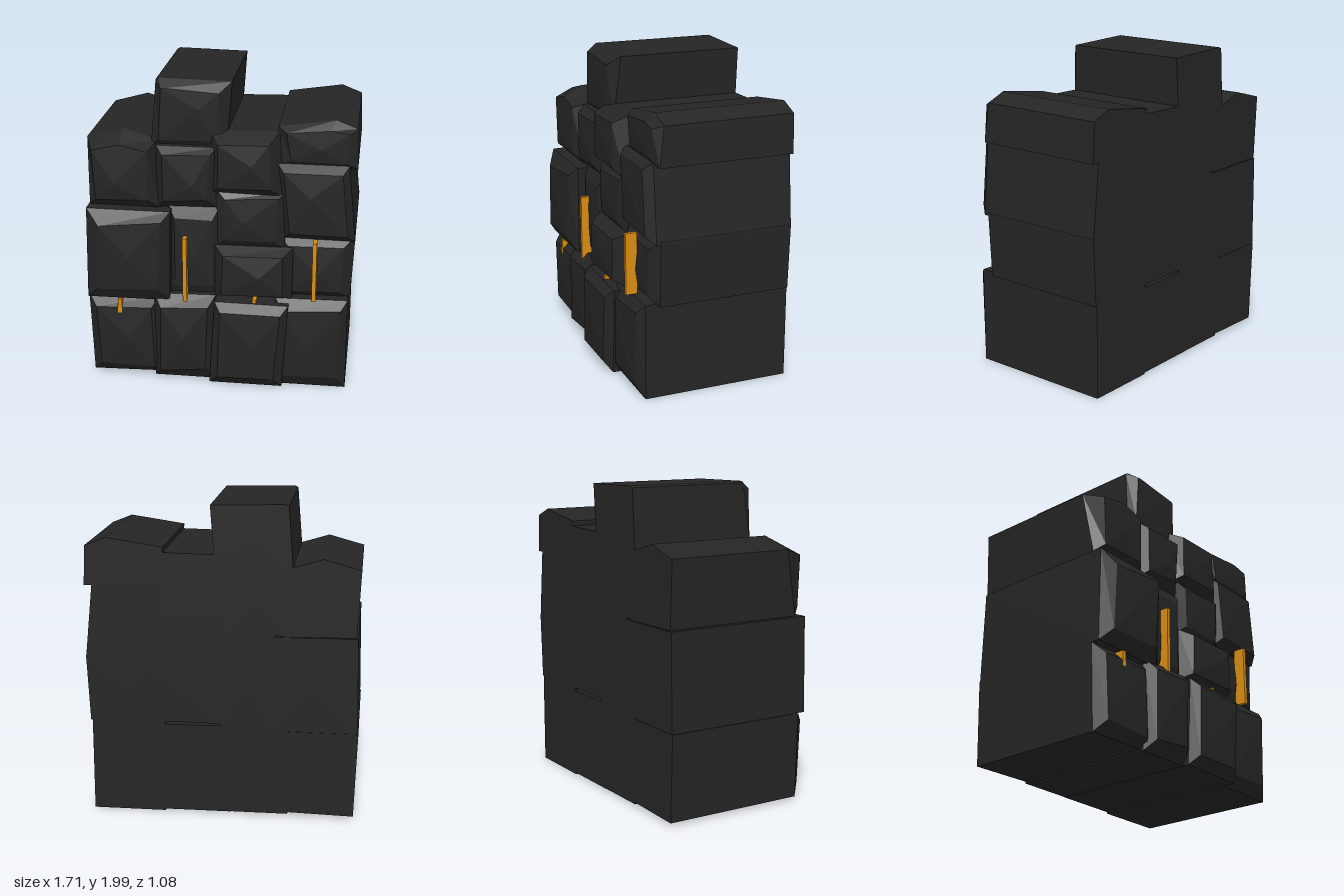
import * as THREE from 'three';

const BACK = -0.54;
const stone = new THREE.MeshStandardMaterial({ color: 0x252525 });
stone.name = 'dark stone';
const amber = new THREE.MeshStandardMaterial({ color: 0xd98c12 });
amber.name = 'amber';

// Seeded wobble in -1..1 for hand-cut irregularity
let seed = 7;
const wobble = () => {
  seed = (seed * 16807) % 2147483647;
  return (seed / 2147483647) * 2 - 1;
};

// Rough stone: a leaning rectangle run back to the flat rear, whose faceted front
// rises from the rim through a ring to an off-centre peak.
// lean shifts the top edge sideways, setback pushes it rearwards, ridge adds a point to it.
function stoneBlock(name, x0, x1, y0, y1, rim, bulge, { lean = 0, setback = 0, ridge } = {}) {
  const h = lean / 2;
  const corner = (x, y, z) => new THREE.Vector3(x, y + wobble() * 0.006, z);
  const rimPts = [corner(x0 - h, y0, rim), corner(x1 - h, y0, rim), corner(x1 + h, y1, rim - setback)];
  if (ridge) rimPts.push(new THREE.Vector3(...ridge, rim - setback));
  rimPts.push(corner(x0 + h, y1, rim - setback));

  const cx = (x0 + x1) / 2, cy = (y0 + y1) / 2;
  const peak = new THREE.Vector3(cx + wobble() * 0.05, cy + wobble() * 0.05, bulge);
  const mid = new THREE.Vector3(cx, cy, BACK);
  const rear = rimPts.map((p) => p.clone().setZ(BACK));
  const ring = rimPts.map((p) => {
    const s = 0.75 + wobble() * 0.08;
    return new THREE.Vector3(cx + (p.x - cx) * s, cy + (p.y - cy) * s, rim + (bulge - rim) * 0.75);
  });

  const pos = [];
  const tri = (...vs) => vs.forEach((v) => pos.push(v.x, v.y, v.z));
  const quad = (a, b, c, d) => { tri(a, b, c); tri(a, c, d); };
  rimPts.forEach((p, i) => {
    const j = (i + 1) % rimPts.length;
    quad(rear[i], rear[j], rimPts[j], p);
    quad(p, rimPts[j], ring[j], ring[i]);
    tri(ring[i], ring[j], peak);
    tri(rear[j], rear[i], mid);
  });
  const geo = new THREE.BufferGeometry();
  geo.setAttribute('position', new THREE.Float32BufferAttribute(pos, 3));
  geo.computeVertexNormals();
  const mesh = new THREE.Mesh(geo, stone);
  mesh.name = name;
  return mesh;
}

export function createModel() {
  const group = new THREE.Group();
  group.name = 'stoneWall';
  const add = (...args) => group.add(stoneBlock(...args));

  // bottom course: x0, x1, y0, y1, rim z, peak z
  add('bottomOuterRight', -0.845, -0.38, 0.03, 0.575, 0.39, 0.475, { lean: -0.02 });
  add('bottomInnerRight', -0.42, -0.02, 0.02, 0.615, 0.42, 0.51);
  add('bottomInnerLeft', -0.04, 0.43, 0.015, 0.595, 0.47, 0.54, { lean: 0.035 });
  add('bottomOuterLeft', 0.36, 0.82, 0.01, 0.62, 0.41, 0.475);

  // second course
  add('secondOuterRight', -0.845, -0.31, 0.57, 1.185, 0.44, 0.515, { lean: 0.01 });
  add('secondInnerRight', -0.33, 0.0, 0.58, 1.2, 0.36, 0.41);
  add('secondInnerLeft', -0.03, 0.465, 0.61, 0.955, 0.39, 0.495);
  add('secondOuterLeft', 0.36, 0.84, 0.6, 1.02, 0.32, 0.395, { lean: 0.02 });

  // third course
  add('thirdInnerLeft', -0.03, 0.41, 0.93, 1.32, 0.36, 0.42);
  add('thirdOuterLeft', 0.38, 0.825, 1.01, 1.5, 0.35, 0.425, { lean: -0.05 });
  add('thirdOuterRight', -0.84, -0.39, 1.185, 1.61, 0.37, 0.445,
    { lean: -0.02, setback: 0.08, ridge: [-0.62, 1.67] });
  add('thirdInnerRight', -0.4, -0.02, 1.19, 1.59, 0.36, 0.435);

  // top course
  add('topInnerLeft', -0.065, 0.38, 1.295, 1.685, 0.37, 0.445, { lean: -0.02, setback: 0.07 });
  add('topOuterLeft', 0.36, 0.845, 1.48, 1.72, 0.33, 0.37, { lean: -0.01, setback: 0.03, ridge: [0.71, 1.775] });
  add('capstone', -0.425, 0.05, 1.57, 1.98, 0.31, 0.35, { lean: 0.03, setback: 0.04, ridge: [-0.39, 1.995] });

  // upright amber strips set into the joints: x, bottom, top
  const strips = [[-0.64, 0.24, 0.57], [-0.215, 0.58, 1.01], [0.23, 0.21, 0.615], [0.605, 0.625, 1.02]];
  strips.forEach(([x, y0, y1], i) => {
    const strip = new THREE.Mesh(new THREE.BoxGeometry(0.026, y1 - y0, 0.075), amber);
    strip.position.set(x, (y0 + y1) / 2, 0.42);
    strip.name = `amberStrip${i + 1}`;
    group.add(strip);
  });
  return group;
}
